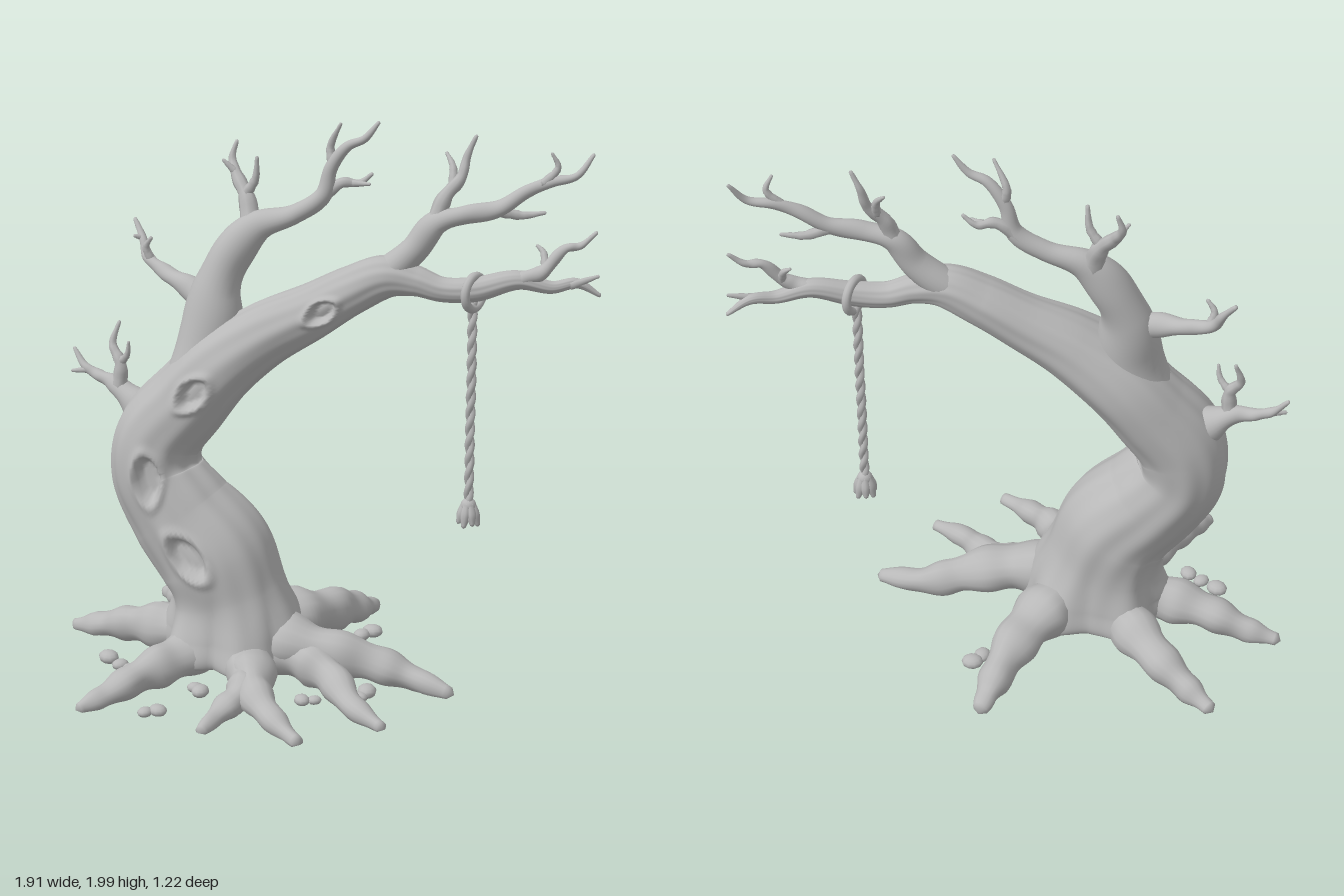
import * as THREE from 'three';

const V = (x, y, z) => new THREE.Vector3(x, y, z);

// Tapered limb through [x, y, z, radius] points; shape(angle, t) scales the radius, edit(p) moves a vertex.
function limb(pts, { rings = 8, sides = 12, shape = () => 1, edit = () => {} } = {}) {
  const path = new THREE.CatmullRomCurve3(pts.map(p => V(p[0], p[1], p[2])));
  const radii = new THREE.CatmullRomCurve3(pts.map(p => V(p[3], 0, 0)), false, 'catmullrom', 0.5);
  const n = rings * (pts.length - 1), pos = [], idx = [];
  const N = V(0.13, 0.05, 1), B = V(0, 0, 0), p = V(0, 0, 0);
  const push = v => { edit(v); pos.push(v.x, v.y, v.z); };
  for (let i = 0; i <= n; i++) {
    const t = i / n, c = path.getPoint(t), T = path.getTangent(t), r = radii.getPoint(t).x;
    N.addScaledVector(T, -N.dot(T)).normalize();
    B.crossVectors(T, N);
    for (let j = 0; j < sides; j++) {
      const a = j / sides * Math.PI * 2, k = r * shape(a, t);
      push(p.copy(c).addScaledVector(N, Math.cos(a) * k).addScaledVector(B, Math.sin(a) * k));
      if (i < n) {
        const q = i * sides + j, s = i * sides + (j + 1) % sides;
        idx.push(q, s, s + sides, q, s + sides, q + sides);
      }
    }
  }
  const first = (n + 1) * sides, last = n * sides, end = pts.length - 1;
  push(path.getPoint(0));
  push(path.getPoint(1).addScaledVector(path.getTangent(1), pts[end][3] * 0.7));
  for (let j = 0; j < sides; j++) {
    const k = (j + 1) % sides;
    idx.push(first, k, j, first + 1, last + j, last + k);
  }
  const g = new THREE.BufferGeometry();
  g.setAttribute('position', new THREE.Float32BufferAttribute(pos, 3));
  g.setIndex(idx);
  g.computeVertexNormals();
  return g;
}

export function createModel() {
  const model = new THREE.Group();
  const grey = new THREE.MeshStandardMaterial({ color: 0xb8b8b8 });
  grey.name = 'plain grey';
  const add = (name, geometry, parent = model) => {
    const m = new THREE.Mesh(geometry, grey);
    m.name = name;
    parent.add(m);
    return m;
  };
  const ground = p => { p.y = Math.max(p.y, 0.004); };

  // Roots: a size factor, then [x, z] points spreading from the foot
  const roots = [
    [1.15, [-0.33, -0.06], [-0.43, -0.2], [-0.54, -0.34], [-0.65, -0.43], [-0.73, -0.5]],
    [1.4, [-0.22, -0.06], [-0.1, -0.2], [-0.01, -0.36], [0.04, -0.5], [0.07, -0.6]],
    [1.35, [-0.22, 0.03], [0, 0.06], [0.2, 0.04], [0.36, 0.03], [0.53, 0.07]],
    [1, [-0.2, 0.06], [0, 0.09], [0.13, 0.17], [0.24, 0.3], [0.37, 0.39]],
    [0.95, [-0.22, 0.08], [-0.14, 0.24], [-0.08, 0.38], [0.02, 0.49], [0.13, 0.58]],
    [0.85, [-0.22, 0.08], [-0.15, 0.26], [-0.14, 0.36], [-0.18, 0.46], [-0.21, 0.59]],
    [1, [-0.33, 0.06], [-0.43, 0.22], [-0.52, 0.34], [-0.6, 0.46], [-0.67, 0.55]],
    [1.1, [-0.35, 0], [-0.54, -0.02], [-0.7, -0.06], [-0.84, -0.09], [-0.95, -0.11]],
  ];
  const heights = [0.11, 0.092, 0.07, 0.036, 0.015], widths = [0.09, 0.08, 0.062, 0.044, 0.022];
  roots.forEach(([k, ...pts], n) => add('root', limb(
    pts.map(([x, z], i) => [x, heights[i] * k, z, widths[i] * (0.5 + k / 2)]), {
      rings: 12, sides: 16, edit: ground,
      shape: (a, t) => 1 + 0.09 * Math.sin(26 * t + n * 1.7) + 0.05 * Math.sin(3 * a + 11 * t),
    })));

  // Buttresses swell the foot of the trunk towards each root
  const footX = -0.28;
  const rootAngles = roots.map(r => Math.atan2(r[2][1], r[2][0] - footX));
  const buttress = p => {
    if (p.y > 0.45) return;
    const dx = p.x - footX, a = Math.atan2(p.z, dx), r = Math.hypot(dx, p.z) || 1;
    const swell = rootAngles.reduce((m, b) => Math.max(m, Math.exp(10 * (Math.cos(a - b) - 1))), 0);
    const k = 0.125 * swell * (1 - p.y / 0.45) ** 2 * Math.min(1, r / 0.2) / r;
    p.x += dx * k;
    p.z += p.z * k;
  };

  // Knot holes on the front: x, y, half length, half width, tilt
  const holes = [
    [-0.39, 0.47, 0.11, 0.06, -0.75], [-0.545, 0.735, 0.1, 0.055, 1.75],
    [-0.39, 1.05, 0.08, 0.05, 0.85], [0.04, 1.35, 0.066, 0.04, 0.65],
  ];
  const carve = p => {
    buttress(p);
    ground(p);
    if (p.z < -0.08 + 0.1 * Math.max(0, 1.15 - p.y)) return;
    for (const [x, y, l, w, tilt] of holes) {
      const dx = p.x - x, dy = p.y - y, c = Math.cos(tilt), s = Math.sin(tilt);
      const d = (Math.abs((dx * c + dy * s) / l) ** 1.7 + Math.abs((dy * c - dx * s) / w) ** 1.7) ** 0.588;
      if (d < 0.85) p.z -= 0.04 * Math.min(1, (0.85 - d) / 0.25);
      else p.z += 0.01 * Math.exp(-(((d - 1.02) / 0.18) ** 2));
    }
  };

  // Trunk sweeping over into the main bough, with twisting bark ridges, deeper than wide past the bend
  add('trunk', limb([
    [-0.28, 0.03, 0, 0.1], [-0.28, 0.07, 0, 0.2], [-0.28, 0.16, 0, 0.212], [-0.3, 0.29, 0, 0.2],
    [-0.35, 0.425, 0.005, 0.207], [-0.475, 0.565, 0.002, 0.19], [-0.57, 0.71, -0.008, 0.174], [-0.56, 0.84, -0.018, 0.168],
    [-0.45, 0.985, -0.035, 0.16], [-0.335, 1.115, -0.045, 0.15], [-0.18, 1.235, -0.06, 0.123],
    [-0.02, 1.325, -0.075, 0.101], [0.12, 1.41, -0.088, 0.087], [0.24, 1.465, -0.1, 0.073],
    [0.34, 1.455, -0.11, 0.053], [0.43, 1.43, -0.12, 0.044], [0.54, 1.435, -0.135, 0.042],
    [0.68, 1.47, -0.17, 0.033], [0.79, 1.445, -0.2, 0.022], [0.87, 1.455, -0.24, 0.017], [0.945, 1.41, -0.27, 0.007],
  ], {
    rings: 16, sides: 96, edit: carve,
    shape: (a, t) => 1 + 0.015 * Math.sin(7 * a + 14 * t) + 0.01 * Math.sin(13 * a - 9 * t)
      + 0.02 * Math.sin(2 * a + 45 * t) + 0.12 * Math.cos(2 * a) * Math.exp(-(((t - 0.42) / 0.14) ** 2)),
  }));

  // Boughs and twigs
  const gnarl = (a, t) => 1 + 0.05 * Math.sin(2 * a + 25 * t) + 0.04 * Math.sin(34 * t);
  const branches = {
    upperBough: [
      [[-0.5, 0.88, -0.03, 0.11], [-0.415, 1.07, -0.045, 0.122], [-0.38, 1.23, -0.06, 0.106], [-0.365, 1.38, -0.08, 0.088],
        [-0.315, 1.5, -0.1, 0.074],
        [-0.23, 1.6, -0.12, 0.052], [-0.1, 1.65, -0.13, 0.036], [0, 1.72, -0.14, 0.029], [0.03, 1.82, -0.14, 0.023],
        [0.09, 1.9, -0.13, 0.018], [0.15, 1.93, -0.13, 0.013], [0.2, 1.99, -0.13, 0.006]],
      [[-0.03, 1.69, -0.14, 0.026], [0.06, 1.765, -0.16, 0.019], [0.12, 1.765, -0.18, 0.012], [0.165, 1.8, -0.18, 0.006]],
      [[0.1, 1.765, -0.17, 0.013], [0.165, 1.77, -0.15, 0.005]],
      [[0.035, 1.83, -0.14, 0.018], [0.025, 1.89, -0.15, 0.014], [0.07, 1.98, -0.12, 0.005]],
      [[-0.25, 1.58, -0.12, 0.042], [-0.28, 1.69, -0.16, 0.029], [-0.33, 1.76, -0.2, 0.021], [-0.355, 1.81, -0.23, 0.014],
        [-0.34, 1.87, -0.24, 0.006]],
      [[-0.335, 1.77, -0.2, 0.014], [-0.375, 1.81, -0.19, 0.006]],
      [[-0.285, 1.7, -0.16, 0.02], [-0.245, 1.76, -0.15, 0.014], [-0.235, 1.84, -0.14, 0.006]],
    ],
    leftBough: [
      [[-0.36, 1.31, -0.07, 0.065], [-0.47, 1.365, -0.1, 0.042], [-0.58, 1.4, -0.15, 0.027], [-0.66, 1.44, -0.19, 0.02],
        [-0.69, 1.5, -0.22, 0.014], [-0.73, 1.56, -0.25, 0.007]],
      [[-0.64, 1.42, -0.18, 0.018], [-0.66, 1.48, -0.17, 0.012], [-0.635, 1.52, -0.16, 0.006]],
      [[-0.69, 1.5, -0.22, 0.012], [-0.715, 1.51, -0.2, 0.006]],
    ],
    lowLeftBough: [
      [[-0.56, 0.85, -0.03, 0.11], [-0.65, 0.925, -0.05, 0.065], [-0.75, 0.995, -0.07, 0.032], [-0.82, 1.015, -0.09, 0.021],
        [-0.875, 1.04, -0.1, 0.015], [-0.925, 1.1, -0.12, 0.006]],
      [[-0.85, 1.03, -0.1, 0.014], [-0.92, 1.025, -0.08, 0.006]],
      [[-0.73, 0.98, -0.06, 0.03], [-0.725, 1.08, -0.06, 0.022], [-0.76, 1.14, -0.08, 0.015], [-0.74, 1.22, -0.1, 0.006]],
      [[-0.725, 1.08, -0.06, 0.016], [-0.69, 1.12, -0.04, 0.011], [-0.68, 1.17, -0.03, 0.005]],
    ],
    rightBough: [
      [[0.2, 1.44, -0.1, 0.06], [0.33, 1.56, -0.12, 0.05], [0.4, 1.655, -0.13, 0.041], [0.5, 1.69, -0.14, 0.032],
        [0.61, 1.715, -0.16, 0.029], [0.7, 1.775, -0.18, 0.022], [0.78, 1.81, -0.2, 0.018], [0.86, 1.83, -0.22, 0.013],
        [0.91, 1.9, -0.25, 0.006]],
      [[0.395, 1.64, -0.13, 0.034], [0.425, 1.74, -0.15, 0.026], [0.475, 1.81, -0.18, 0.019], [0.49, 1.88, -0.2, 0.013],
        [0.52, 1.95, -0.2, 0.006]],
      [[0.45, 1.78, -0.17, 0.018], [0.44, 1.84, -0.2, 0.012], [0.41, 1.88, -0.23, 0.005]],
      [[0.6, 1.71, -0.16, 0.022], [0.68, 1.69, -0.19, 0.015], [0.76, 1.7, -0.21, 0.006]],
      [[0.75, 1.8, -0.19, 0.016], [0.8, 1.86, -0.2, 0.011], [0.78, 1.91, -0.19, 0.005]],
    ],
    boughFork: [
      [[0.68, 1.47, -0.17, 0.028], [0.76, 1.5, -0.18, 0.024], [0.83, 1.58, -0.21, 0.016], [0.88, 1.59, -0.23, 0.012],
        [0.93, 1.635, -0.25, 0.006]],
      [[0.77, 1.51, -0.19, 0.016], [0.755, 1.56, -0.22, 0.011], [0.73, 1.58, -0.23, 0.005]],
      [[0.85, 1.45, -0.22, 0.015], [0.94, 1.48, -0.26, 0.006]],
    ],
  };
  for (const [name, list] of Object.entries(branches)) {
    const group = new THREE.Group();
    group.name = name;
    model.add(group);
    list.forEach((pts, i) => add(i ? 'twig' : 'bough', limb(pts, { shape: gnarl, sides: i ? 8 : 24 }), group));
  }

  // Loose stones: x, z, size
  const stones = [[0.13, -0.36, 0.037], [0.1, -0.32, 0.033], [-0.72, 0.14, 0.038], [-0.66, 0.18, 0.03], [-0.61, 0.215, 0.033],
    [-0.34, 0.28, 0.028], [-0.31, 0.31, 0.034], [-0.4, 0.495, 0.032], [-0.44, 0.515, 0.027], [0.05, 0.27, 0.03],
    [0.09, 0.25, 0.024], [0.25, 0.145, 0.038], [0.235, 0.185, 0.028]];
  stones.forEach(([x, z, r], i) => {
    const m = add('stone', new THREE.SphereGeometry(r, 10, 8));
    m.position.set(x, r * 0.65, z);
    m.scale.set(1.05, 0.65, 0.9);
    m.rotation.y = i * 1.3;
  });

  // Rope loop, twisted hanging rope, knot and frayed tassel
  const rope = new THREE.Group();
  rope.name = 'rope';
  rope.position.set(0.535, 0, -0.135);
  model.add(rope);
  const loop = add('ropeLoop', new THREE.TorusGeometry(0.056, 0.016, 10, 32), rope);
  loop.position.set(0.005, 1.425, 0.005);
  loop.rotation.y = Math.PI / 2 - 0.35;
  for (let s = 0; s < 2; s++) {
    const pts = Array.from({ length: 61 }, (_, i) => {
      const a = i * 0.65 + s * Math.PI;
      return V(0.006 * Math.cos(a), 1.4 - i * 0.0122, 0.006 * Math.sin(a));
    });
    add('ropeStrand', new THREE.TubeGeometry(new THREE.CatmullRomCurve3(pts), 180, 0.012, 7), rope);
  }
  const knot = add('ropeKnot', new THREE.SphereGeometry(0.028, 14, 10), rope);
  knot.position.y = 0.65;
  for (let i = 0; i < 7; i++) {
    const a = i / 7 * Math.PI * 2, c = Math.cos(a), s = Math.sin(a);
    add('tasselStrand', limb([[0.012 * c, 0.66, 0.012 * s, 0.013], [0.023 * c, 0.62, 0.023 * s, 0.018],
      [0.035 * c, 0.58 + 0.008 * (i % 2), 0.035 * s, 0.008]], { sides: 8 }), rope);
  }
  return model;
}
